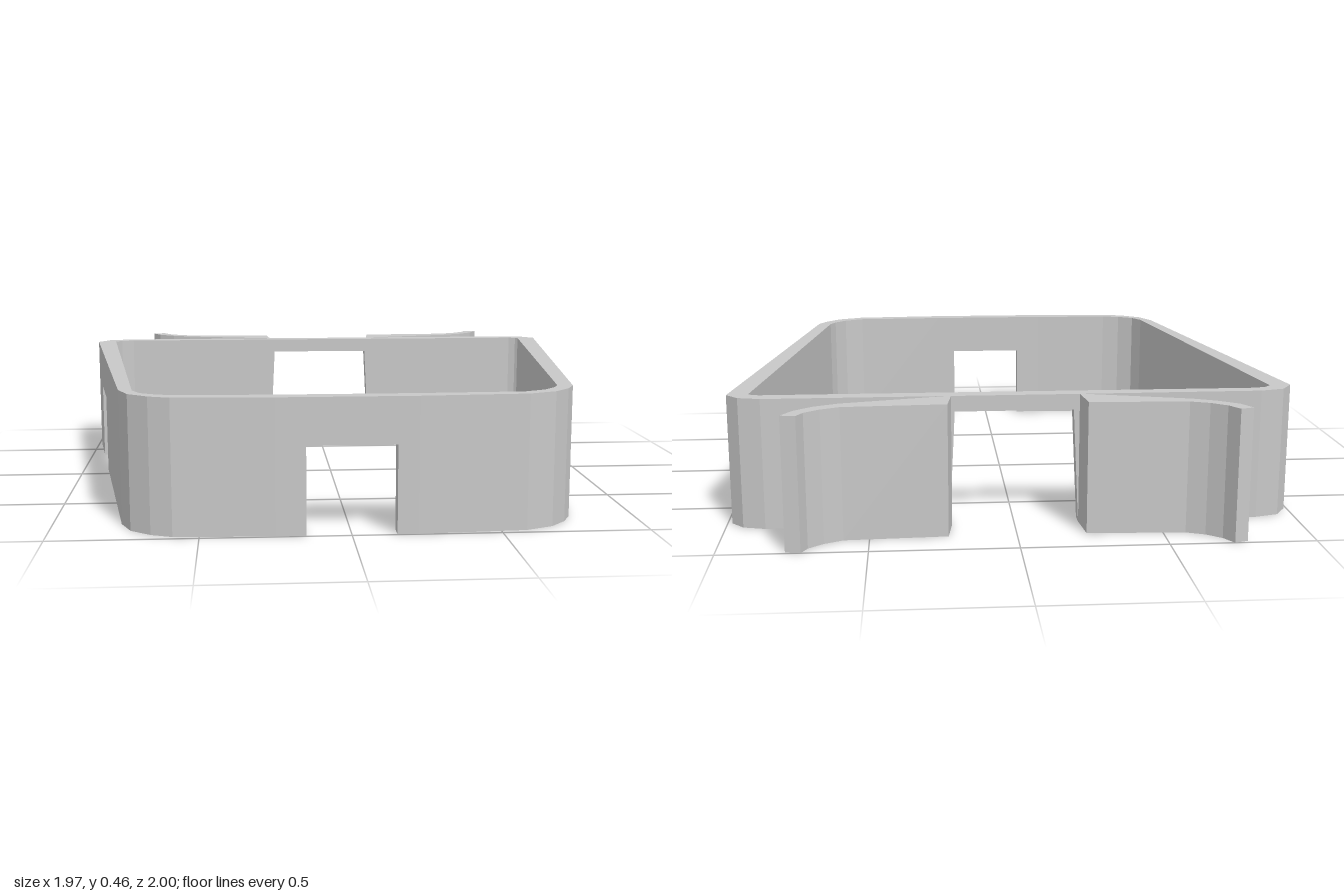
import * as THREE from 'three';

const HEIGHT = 0.46;
const NOTCH = 0.30; // height of the front and side cut-outs
const GAP = 0.405; // height of the opening between the clips

// Sweeps a rectangular wall section along stations [outerX, outerZ, innerX, innerZ, bottomY].
function wallGeometry(stations, closed) {
  const sections = stations.map(([ox, oz, ix, iz, y = 0]) => [
    [ox, y, oz], [ox, HEIGHT, oz], [ix, HEIGHT, iz], [ix, y, iz],
  ]);
  const pos = [];
  const quad = (a, b, c, d) => pos.push(...a, ...b, ...c, ...a, ...c, ...d);
  const n = sections.length;
  for (let i = 0; i < (closed ? n : n - 1); i++) {
    const a = sections[i];
    const b = sections[(i + 1) % n];
    for (let k = 0; k < 4; k++) {
      const m = (k + 1) % 4;
      quad(a[k], b[k], b[m], a[m]);
    }
  }
  if (!closed) {
    quad(...sections[0]);
    quad(...sections[n - 1].slice().reverse());
  }
  const g = new THREE.BufferGeometry();
  g.setAttribute('position', new THREE.Float32BufferAttribute(pos, 3));
  g.computeVertexNormals();
  return g;
}

export function createModel() {
  const grey = new THREE.MeshStandardMaterial({ color: 0xc8c8c8 });
  grey.name = 'light grey';
  grey.flatShading = true;

  const group = new THREE.Group();
  group.name = 'clipOnFrame';
  const add = (name, stations, closed) => {
    const mesh = new THREE.Mesh(wallGeometry(stations, closed), grey);
    mesh.name = name;
    group.add(mesh);
  };

  // Tapered ring; a repeated station with a new bottom makes the side of a cut-out
  add('frame', [
    // front wall and front left corner
    [0.15, 0.995, 0.15, 0.937, NOTCH],
    [0.15, 0.995, 0.15, 0.937],
    [0.22, 0.995, 0.22, 0.937],
    [0.587, 0.973, 0.58, 0.926],
    [0.683, 0.93, 0.656, 0.889],
    [0.74, 0.868, 0.70, 0.84],
    [0.772, 0.804, 0.72, 0.794],
    // back left corner
    [0.984, -0.677, 0.91, -0.667],
    [0.94, -0.725, 0.90, -0.677],
    [0.862, -0.746, 0.873, -0.687],
    // opening in the back wall
    [0.225, -0.744, 0.225, -0.687],
    [0.205, -0.744, 0.205, -0.687, GAP],
    [-0.205, -0.742, -0.205, -0.687, GAP],
    [-0.225, -0.742, -0.225, -0.687],
    // back right corner
    [-0.862, -0.735, -0.84, -0.687],
    [-0.947, -0.71, -0.89, -0.677],
    [-0.99, -0.645, -0.915, -0.65],
    // cut-out in the right wall
    [-0.949, -0.38, -0.879, -0.38],
    [-0.949, -0.38, -0.879, -0.38, NOTCH],
    [-0.903, -0.08, -0.839, -0.08, NOTCH],
    [-0.903, -0.08, -0.839, -0.08],
    // front right corner
    [-0.767, 0.80, -0.72, 0.815],
    [-0.73, 0.89, -0.69, 0.873],
    [-0.66, 0.947, -0.63, 0.91],
    [-0.587, 0.978, -0.56, 0.926],
    [-0.25, 0.995, -0.25, 0.937],
    [-0.15, 0.995, -0.15, 0.937],
    [-0.15, 0.995, -0.15, 0.937, NOTCH],
  ], true);

  // Curved spring clips behind the back wall
  add('leftClip', [
    [0.217, -0.74, 0.233, -0.868],
    [0.593, -0.832, 0.587, -0.884],
    [0.677, -0.873, 0.65, -0.915],
    [0.735, -0.926, 0.70, -0.957],
    [0.772, -0.99, 0.72, -1.0],
  ], false);
  add('rightClip', [
    [-0.767, -0.984, -0.72, -1.0],
    [-0.735, -0.926, -0.69, -0.95],
    [-0.67, -0.878, -0.64, -0.91],
    [-0.593, -0.841, -0.577, -0.884],
    [-0.225, -0.738, -0.238, -0.868],
  ], false);

  return group;
}
